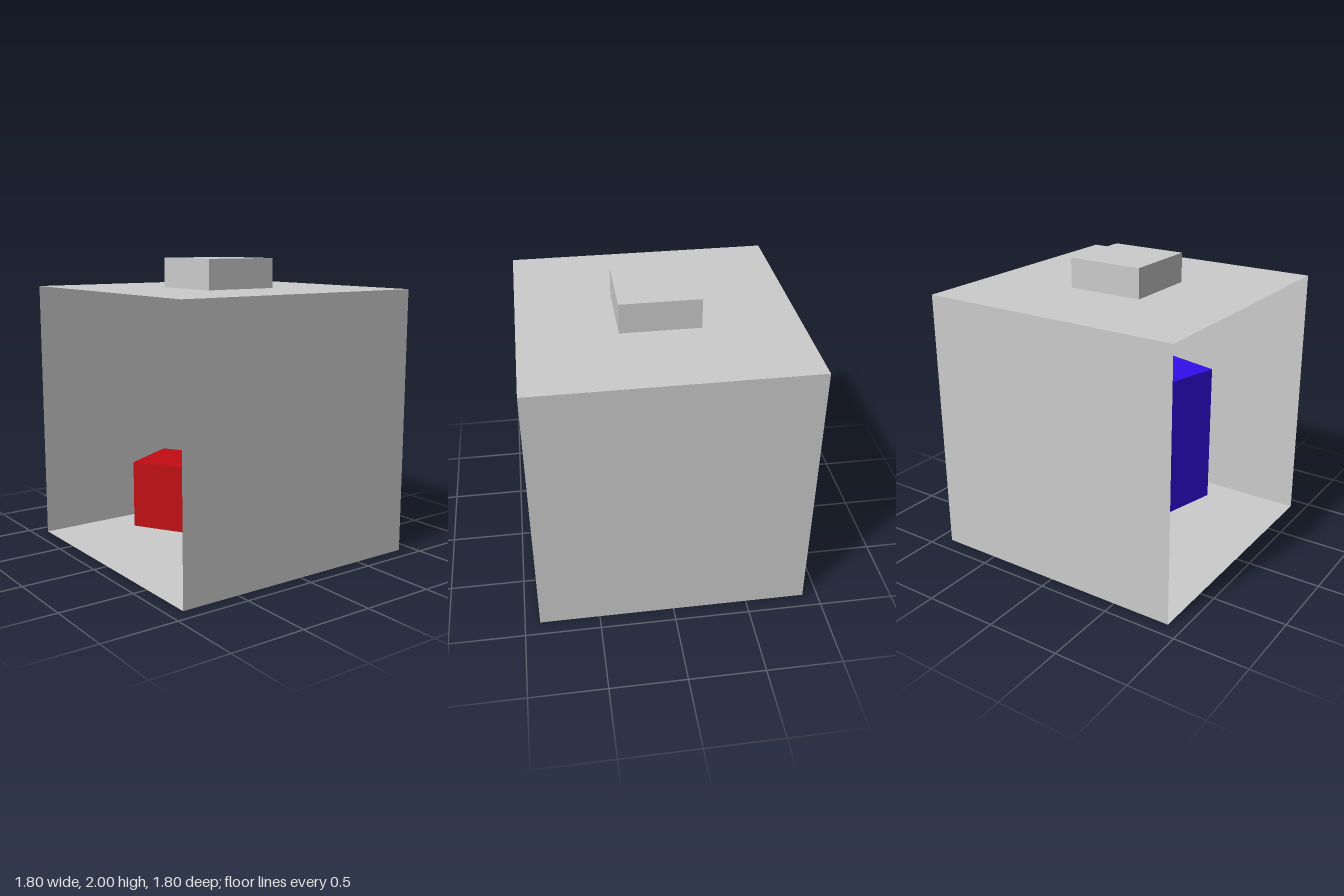
import * as THREE from 'three';

const SIDE = 1.8, H = SIDE / 2;

export function createModel() {
  const model = new THREE.Group();
  model.name = 'openRoom';
  const grey = new THREE.MeshStandardMaterial({ color: 0xcccccc });
  const sheet = new THREE.MeshStandardMaterial({ color: 0xcccccc, side: THREE.DoubleSide });
  const red = new THREE.MeshStandardMaterial({ color: 0xc20c12 });
  const blue = new THREE.MeshStandardMaterial({ color: 0x330eea });

  // Thin room shell, open at the front
  const wall = (name, x, y, z, rx, ry) => {
    const mesh = new THREE.Mesh(new THREE.PlaneGeometry(SIDE, SIDE), sheet);
    mesh.name = name;
    mesh.position.set(x, y, z);
    mesh.rotation.set(rx, ry, 0);
    model.add(mesh);
  };
  const q = Math.PI / 2;
  wall('floor', 0, 0, 0, -q, 0);
  wall('ceiling', 0, SIDE, 0, q, 0);
  wall('backWall', 0, H, -H, 0, 0);
  wall('leftWall', H, H, 0, 0, -q);
  wall('rightWall', -H, H, 0, 0, q);

  // Upright square block standing on a given height, turned about y
  const block = (name, material, width, height, x, base, turn) => {
    const mesh = new THREE.Mesh(new THREE.BoxGeometry(width, height, width), material);
    mesh.name = name;
    mesh.position.set(x, base + height / 2, 0);
    mesh.rotation.y = turn;
    model.add(mesh);
  };
  block('roofLamp', grey, 0.525, 0.2, 0, SIDE, 0);
  block('shortBlock', red, 0.49, 0.488, -0.515, 0.016, 0.53);
  block('tallBlock', blue, 0.487, 1.042, 0.505, 0.016, -0.25);

  return model;
}
